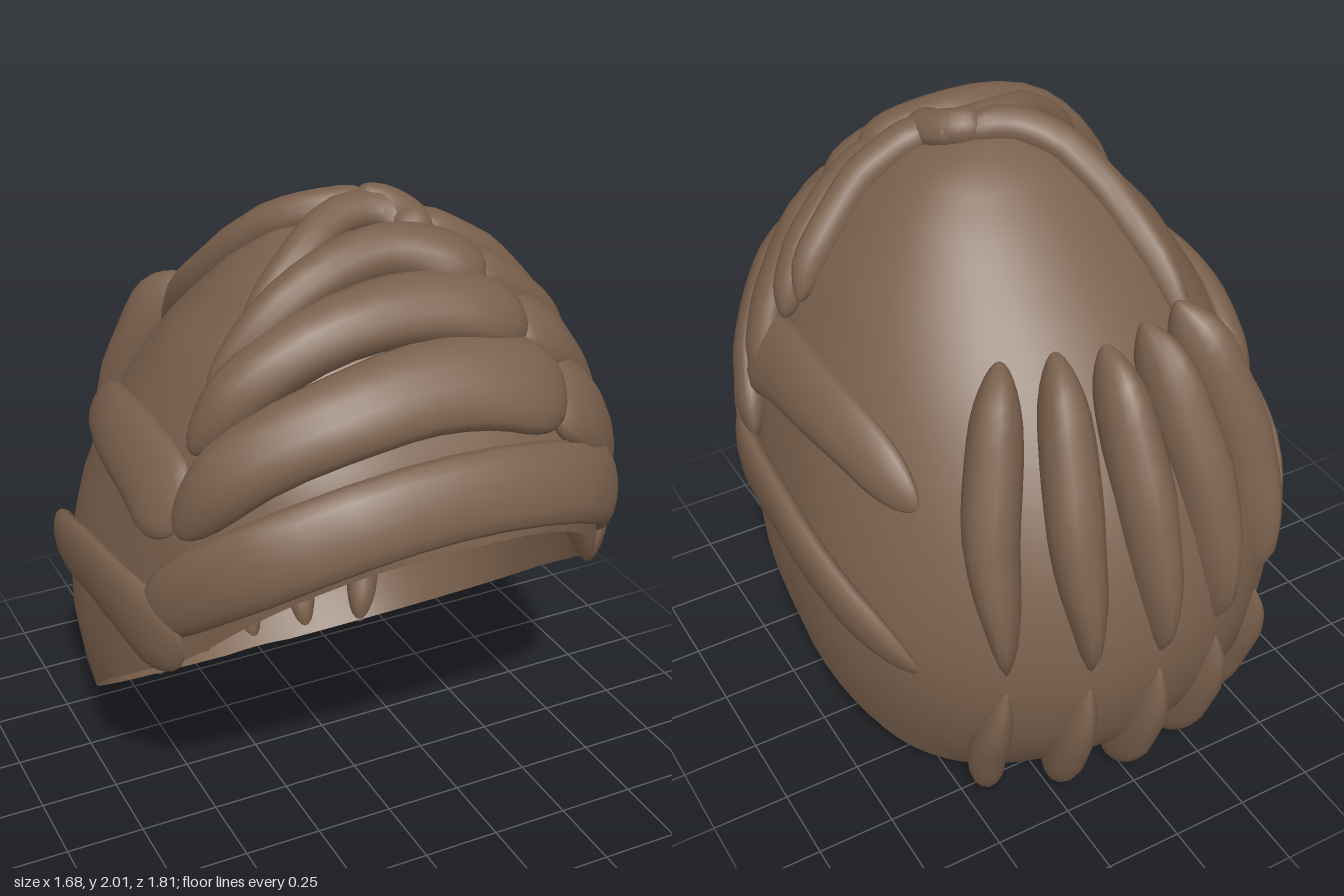
import * as THREE from 'three';

// Scalp profile: height, front z, back z, half width
const PROFILE = [
  [0, 0.7, -0.53, 0.73], [0.2, 0.72, -0.72, 0.73], [0.4, 0.74, -0.815, 0.775], [0.6, 0.76, -0.855, 0.8],
  [0.8, 0.79, -0.85, 0.795], [1, 0.84, -0.8, 0.765], [1.2, 0.87, -0.705, 0.715], [1.4, 0.8, -0.56, 0.64],
  [1.6, 0.68, -0.37, 0.53], [1.8, 0.48, -0.14, 0.36], [1.9, 0.34, 0, 0.23], [1.94, 0.24, 0.09, 0.11], [1.955, 0.16, 0.16, 0],
];
const TOP = 1.955;
// Sloping hairline: z, y
const RIM = [[-0.54, 0.02], [0.1, 0.515], [0.55, 0.835], [0.9, 1.22]];
const CENTRE = new THREE.Vector3(0, 1, 0.05);

function lookup(table, v) {
  if (v <= table[0][0]) return table[0];
  for (let i = 1; i < table.length; i++) {
    const a = table[i - 1], b = table[i];
    if (v <= b[0]) return a.map((n, k) => n + (b[k] - n) * (v - a[0]) / (b[0] - a[0]));
  }
  return table[table.length - 1];
}

// Squarer at the front than at the back
const power = front => (front ? 2.8 : 2);

function scalpPoint(angle, y) {
  const [, zf, zb, w] = lookup(PROFILE, y);
  const s = Math.sin(angle), c = Math.cos(angle), e = 2 / power(c > 0);
  return new THREE.Vector3(
    w * Math.sign(s) * Math.abs(s) ** e, y,
    (zf + zb) / 2 + (zf - zb) / 2 * Math.sign(c) * Math.abs(c) ** e);
}

function inside(p) {
  if (p.y >= TOP) return false;
  const [, zf, zb, w] = lookup(PROFILE, p.y);
  const dz = p.z - (zf + zb) / 2, e = power(dz > 0);
  return (Math.abs(p.x) / w) ** e + (Math.abs(dz) / ((zf - zb) / 2)) ** e < 1;
}

// Moves a point along its ray from the centre onto the scalp
function snap(p, lift) {
  const dir = p.clone().sub(CENTRE).normalize();
  let lo = 0, hi = 2;
  for (let i = 0; i < 24; i++) {
    const m = (lo + hi) / 2;
    if (inside(CENTRE.clone().addScaledVector(dir, m))) lo = m; else hi = m;
  }
  return CENTRE.clone().addScaledVector(dir, lo + lift);
}

function geometryFrom(points, index) {
  const g = new THREE.BufferGeometry().setFromPoints(points);
  g.setIndex(index);
  g.computeVertexNormals();
  return g;
}

// Open shell from the sloping hairline to the crown
function scalpGeometry() {
  const cols = 72, rows = 26, pts = [], index = [];
  for (let j = 0; j <= rows; j++) {
    for (let i = 0; i < cols; i++) {
      const a = i / cols * Math.PI * 2;
      let rim = 0.6;
      for (let k = 0; k < 40; k++) rim += (lookup(RIM, scalpPoint(a, rim).z)[1] - rim) * 0.5;
      pts.push(scalpPoint(a, rim + (TOP - rim) * Math.sin(j / rows * Math.PI / 2)));
    }
  }
  for (let j = 0; j < rows; j++) {
    for (let i = 0; i < cols; i++) {
      const a = j * cols + i, b = j * cols + (i + 1) % cols;
      index.push(a, b, a + cols, b, b + cols, a + cols);
    }
  }
  return geometryFrom(pts, index);
}

// Rounded lock along the scalp: half widths at the ends and extra in the middle, heights at the ends
function lockGeometry(path, [w0, w1, bulge = 0], thick, lift0, lift1) {
  const curve = new THREE.CatmullRomCurve3(path.map(p => new THREE.Vector3(...p)));
  const segs = 22, sides = 14, pts = [], index = [];
  const widest = Math.max(w0, w1, (w0 + w1) / 2 + bulge);
  const at = v => {
    const t = THREE.MathUtils.clamp(v, 0, 1);
    return snap(curve.getPoint(t), lift0 + (lift1 - lift0) * t);
  };
  for (let j = 0; j <= segs; j++) {
    const t = (1 - Math.cos(j / segs * Math.PI)) / 2;
    const p = at(t);
    const tangent = at(t + 0.02).sub(at(t - 0.02)).normalize();
    const out = p.clone().sub(CENTRE);
    out.addScaledVector(tangent, -out.dot(tangent)).normalize();
    const side = tangent.clone().cross(out);
    const end = Math.max(0, 1 - Math.min(t, 1 - t) / 0.2);
    const round = Math.sqrt(Math.max(0, 1 - end * end)) + 0.001;
    const w = (w0 + (w1 - w0) * t + bulge * Math.sin(t * Math.PI)) * round;
    const h = thick * round * (0.45 + 0.55 * Math.min(1, w / (widest * 0.7)));
    for (let i = 0; i < sides; i++) {
      const a = i / sides * Math.PI * 2;
      pts.push(p.clone().addScaledVector(side, Math.cos(a) * w).addScaledVector(out, Math.sin(a) * h));
    }
  }
  for (let j = 0; j < segs; j++) {
    for (let i = 0; i < sides; i++) {
      const a = j * sides + i, b = j * sides + (i + 1) % sides;
      index.push(a, a + sides, b, b, a + sides, b + sides);
    }
  }
  return geometryFrom(pts, index);
}

export function createModel() {
  const group = new THREE.Group();
  group.name = 'hair';
  const brown = new THREE.MeshStandardMaterial({ color: 0x7b614d, side: THREE.DoubleSide });
  brown.name = 'brown hair';

  const add = (name, geometry) => {
    const mesh = new THREE.Mesh(geometry, brown);
    mesh.name = name;
    group.add(mesh);
  };
  const lock = (name, path, widths, thick = 0.055, lift0 = 0.015, lift1 = lift0) =>
    add(name, lockGeometry(path, widths, thick, lift0, lift1));

  add('scalp', scalpGeometry());

  // Rolled brim over the forehead
  lock('brim', [[-0.76, 0.87, 0.42], [-0.7, 1.03, 0.54], [-0.5, 1.22, 0.74], [-0.25, 1.31, 0.82], [0, 1.33, 0.83],
    [0.25, 1.31, 0.82], [0.5, 1.22, 0.74], [0.7, 1.03, 0.54], [0.76, 0.87, 0.42]], [0.12, 0.12], 0.05, 0.01);

  // Layered fringe sweeping to the model's right
  lock('fringeLock1', [[-0.64, 1.2, 0.47], [-0.53, 1.43, 0.6], [-0.25, 1.58, 0.7], [0, 1.62, 0.71],
    [0.25, 1.58, 0.71], [0.42, 1.46, 0.68]], [0.1, 0.16], 0.075, 0.025);
  lock('fringeLock2', [[-0.6, 1.42, 0.44], [-0.42, 1.65, 0.51], [-0.12, 1.79, 0.55], [0.13, 1.79, 0.56],
    [0.36, 1.66, 0.56]], [0.08, 0.13], 0.08, 0.03);
  lock('fringeLock3', [[-0.53, 1.57, 0.41], [-0.29, 1.8, 0.42], [-0.02, 1.9, 0.4], [0.13, 1.88, 0.43],
    [0.27, 1.79, 0.49]], [0.06, 0.11], 0.075, 0.035);
  lock('fringeLock4', [[-0.44, 1.66, 0.39], [-0.22, 1.86, 0.31], [-0.06, 1.94, 0.23], [0.08, 1.94, 0.23],
    [0.13, 1.89, 0.34]], [0.05, 0.08], 0.055, 0.015);

  // Long lock along the parting, meeting a small curl at the crown
  lock('partingLock', [[-0.36, 1.44, -0.41], [-0.29, 1.66, -0.14], [-0.18, 1.84, 0.06], [-0.06, 1.94, 0.16],
    [0.08, 1.93, 0.18]], [0.035, 0.05, 0.02], 0.06, 0.01);
  lock('crownCurl', [[0, 1.95, 0.18], [0.08, 1.93, 0.21], [0.12, 1.9, 0.28], [0.11, 1.87, 0.36]], [0.05, 0.07], 0.06, 0.02);

  // Locks falling from the fringe to the model's left
  lock('sweptLock1', [[0.36, 1.5, 0.66], [0.57, 1.31, 0.57], [0.76, 1, 0.32]], [0.14, 0.11]);
  lock('sweptLock2', [[0.3, 1.7, 0.55], [0.51, 1.49, 0.47], [0.69, 1.18, 0.34]], [0.12, 0.09]);
  lock('sweptLock3', [[0.2, 1.84, 0.44], [0.42, 1.68, 0.4], [0.6, 1.4, 0.29]], [0.09, 0.07], 0.06);
  lock('sweptLock4', [[0.1, 1.9, 0.29], [0.32, 1.78, 0.32], [0.57, 1.47, 0.25]], [0.07, 0.05], 0.06);

  for (const s of [-1, 1]) {
    const label = s > 0 ? 'left' : 'right';
    // Swept locks at the temples
    lock(label + 'UpperSideLock', [[0.66, 1.23, 0.48], [0.68, 1.3, 0.3], [0.68, 1.32, 0.02], [0.64, 1.28, -0.2],
      [0.56, 1.17, -0.41]].map(([x, y, z]) => [x * s, y, z]), [0.15, 0.08], 0.05, 0.005);
    lock(label + 'LowerSideLock', [[0.74, 0.84, 0.57], [0.79, 0.89, 0.32], [0.8, 0.89, 0.02], [0.76, 0.81, -0.28],
      [0.66, 0.65, -0.55]].map(([x, y, z]) => [x * s, y, z]), [0.17, 0.08], 0.045, 0.01);
  }

  // Fan of pointed locks on the back, in two tiers, their tips sinking into the scalp
  for (let i = -2; i <= 2; i++) {
    const a = Math.abs(i), x = i * 0.22, z = a * a * 0.035;
    lock('upperBackLock' + (i + 3), [[x * 0.62, 1.57 - a * 0.01, -0.47 + a * 0.045],
      [x * 0.86, 1.39, -0.64 + z * 0.8], [x * 1.04, 1.13, -0.78 + z],
      [x * 1.03, 0.87, -0.84 + z], [x, 0.63, -0.85 + z]], [0.06, 0.006, 0.05], 0.105, 0.08, -0.055);
    lock('lowerBackLock' + (i + 3), [[x, 0.65, -0.85 + z], [x * 1.05, 0.46, -0.82 + z],
      [x * 1.02, 0.25, -0.73 + z], [x * 0.88, 0.06, -0.56 + z * 0.5]], [0.006, 0.045, 0.035], 0.075, -0.04, 0.02);
  }

  // Stand the hair on the ground, centred front to back
  const box = new THREE.Box3().setFromObject(group, true);
  group.position.set(0, -box.min.y, -(box.min.z + box.max.z) / 2);
  return group;
}
